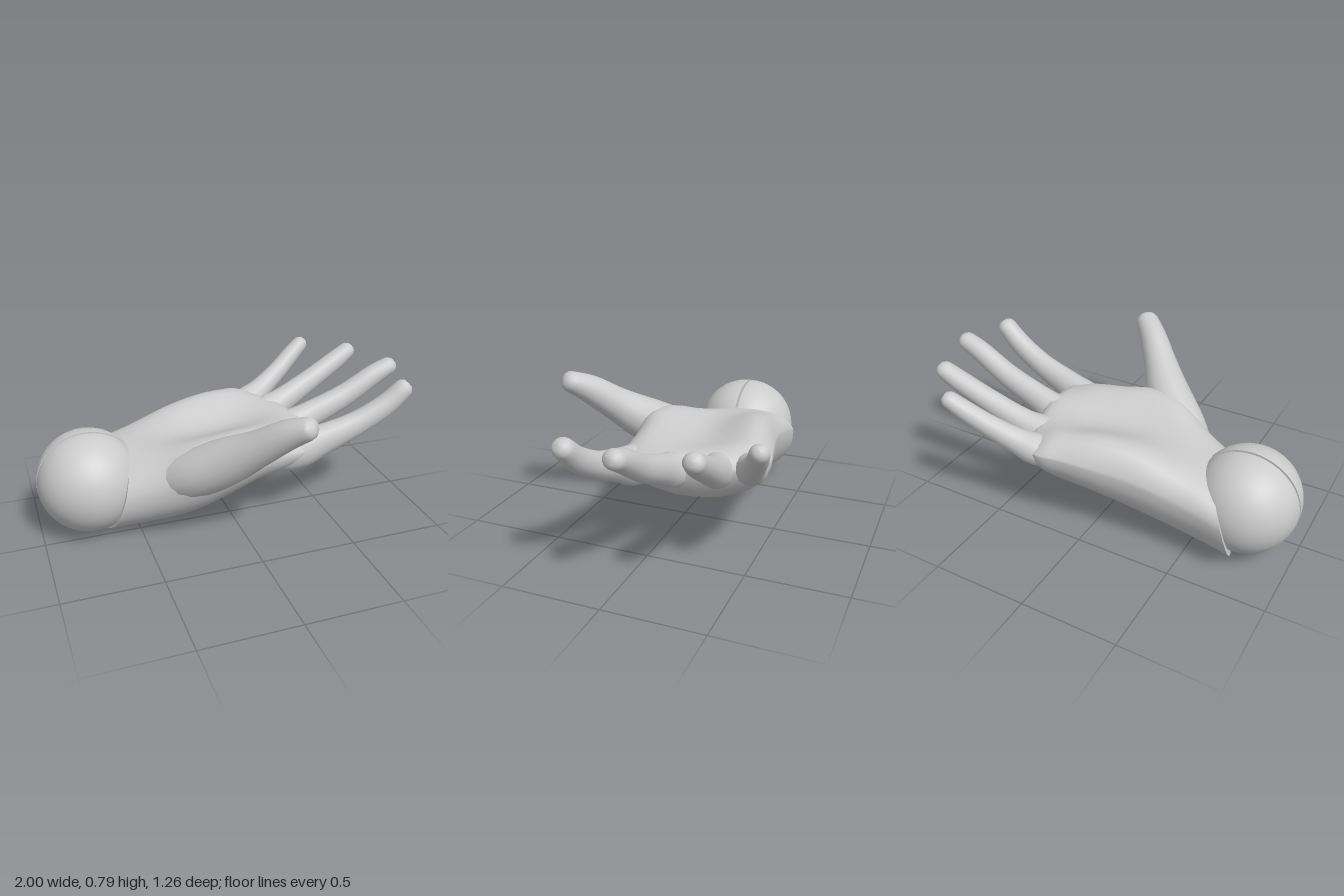
import * as THREE from 'three';

const material = new THREE.MeshStandardMaterial({ color: 0xcccccc, side: THREE.DoubleSide });
const { smoothstep, clamp } = THREE.MathUtils;

// Smoothly interpolates rows of numbers; keys gives each row's position
function rowSampler(rows, keys) {
  const curve = new THREE.CubicInterpolant(keys, rows.flat(), rows[0].length);
  return (t) => Array.from(curve.evaluate(t));
}

// Skins a list of closed rings of equal length
function loft(rings) {
  const n = rings[0].length;
  const index = [];
  for (let i = 0; i < rings.length - 1; i++) {
    for (let j = 0; j < n; j++) {
      const a = i * n + j, b = a + n;
      const d = i * n + (j + 1) % n, c = d + n;
      index.push(a, b, c, a, c, d);
    }
  }
  const geometry = new THREE.BufferGeometry().setFromPoints(rings.flat());
  geometry.setIndex(index);
  geometry.computeVertexNormals();
  return geometry;
}

const collapse = (ring, point) => ring.map(() => point.clone());

function addMesh(parent, name, geometry) {
  const mesh = new THREE.Mesh(geometry, material);
  mesh.name = name;
  parent.add(mesh);
  return mesh;
}

// Cupped palm: x, back z, front z, back edge y, front edge y, bottom y, hollow y, rim height
function palmGeometry() {
  const stations = [
    [-0.60, -0.405, 0.14, 0.28, 0.25, 0.002, 0.45, 0.00],
    [-0.45, -0.40, 0.19, 0.33, 0.30, 0.022, 0.47, 0.03],
    [-0.25, -0.43, 0.275, 0.40, 0.38, 0.07, 0.48, 0.075],
    [-0.05, -0.475, 0.285, 0.44, 0.43, 0.14, 0.48, 0.09],
    [0.10, -0.505, 0.25, 0.46, 0.42, 0.19, 0.485, 0.075],
    [0.25, -0.525, 0.235, 0.465, 0.41, 0.235, 0.505, 0.045],
    [0.35, -0.515, 0.225, 0.46, 0.42, 0.29, 0.515, 0.01],
    [0.40, -0.48, 0.205, 0.455, 0.43, 0.345, 0.505, 0.00],
    [0.425, -0.44, 0.18, 0.45, 0.435, 0.395, 0.475, 0.00],
  ];
  const sample = rowSampler(stations, stations.map((s) => s[0]));
  const rings = [];
  const steps = 36, sides = 40;
  for (let i = 0; i <= steps; i++) {
    const [x, back, front, edgeB, edgeF, bottom, hollow, rim] = sample(-0.60 + 1.025 * i / steps);
    const ring = [];
    for (let j = 0; j < sides; j++) {
      const a = j / sides * Math.PI * 2;
      const c = Math.cos(a), s = Math.sin(a);
      const z = (back + front) / 2 + (front - back) / 2 * c;
      const edge = edgeB + (edgeF - edgeB) * (c + 1) / 2;
      const y = s > 0
        ? edge + (hollow - edge) * s + rim * Math.sin(2 * a) ** 2
        : edge + (edge - bottom) * s;
      // Slanted wrist opening and slanted knuckle line
      const wrist = 1 - smoothstep(x, -0.6, -0.1);
      const knuckle = smoothstep(x, 0.05, 0.43) * clamp((-0.1 - z) / 0.4, 0, 1);
      ring.push(new THREE.Vector3(
        x + wrist * (0.45 * Math.min(0, z + 0.12) + 0.3 * (y - 0.25)) - 0.12 * knuckle, y, z));
    }
    rings.push(ring);
  }
  // The doubled first ring keeps the wrist rim sharp
  const wristRing = rings[0].map((p) => p.clone());
  rings.unshift(collapse(wristRing, new THREE.Vector3(-0.62, 0.26, -0.12)), wristRing);
  rings.push(collapse(wristRing, new THREE.Vector3(0.42, 0.44, -0.13)));
  return loft(rings);
}

// Tapered digit; each row is x, y, z, half width, half thickness
function digitGeometry(rows) {
  const sample = rowSampler(rows, rows.map((_, i) => i));
  const steps = 24, sides = 16, last = rows.length - 1;
  const up = new THREE.Vector3(0, 1, 0);
  const at = (t) => new THREE.Vector3(...sample(t).slice(0, 3));
  const ringAt = (t, scale, advance) => {
    const [, , , w, h] = sample(t);
    const dir = at(Math.min(t + 0.05, last)).sub(at(Math.max(t - 0.05, 0))).normalize();
    const side = dir.clone().cross(up).normalize();
    const normal = side.clone().cross(dir);
    const center = at(t).addScaledVector(dir, advance);
    return Array.from({ length: sides }, (_, j) => {
      const a = j / sides * Math.PI * 2;
      return center.clone()
        .addScaledVector(side, w * scale * Math.cos(a))
        .addScaledVector(normal, h * scale * Math.sin(a));
    });
  };
  const rings = [];
  for (let i = 0; i <= steps; i++) rings.push(ringAt(last * i / steps, 1, 0));
  // Blunt rounded tip
  rings.push(ringAt(last, 0.88, 0.018), ringAt(last, 0.55, 0.034), ringAt(last, 0, 0.037));
  return loft(rings);
}

// Each digit starts thin inside the palm so that it swells out of it gently
const digits = {
  indexFinger: [
    [0.10, 0.36, 0.10, 0.06, 0.05], [0.30, 0.39, 0.135, 0.092, 0.105],
    [0.46, 0.445, 0.162, 0.07, 0.085], [0.64, 0.515, 0.178, 0.06, 0.067],
    [0.79, 0.60, 0.192, 0.057, 0.06], [0.89, 0.69, 0.20, 0.054, 0.05],
  ],
  middleFinger: [
    [0.12, 0.37, -0.09, 0.06, 0.05], [0.34, 0.415, -0.085, 0.095, 0.09],
    [0.48, 0.47, -0.08, 0.068, 0.078], [0.69, 0.56, -0.078, 0.06, 0.065],
    [0.86, 0.66, -0.076, 0.056, 0.057], [0.955, 0.707, -0.076, 0.052, 0.047],
  ],
  ringFinger: [
    [0.08, 0.38, -0.25, 0.06, 0.05], [0.29, 0.425, -0.285, 0.09, 0.088],
    [0.43, 0.475, -0.316, 0.068, 0.076], [0.61, 0.565, -0.345, 0.059, 0.062],
    [0.77, 0.65, -0.37, 0.055, 0.056], [0.855, 0.702, -0.383, 0.05, 0.046],
  ],
  littleFinger: [
    [0.06, 0.41, -0.38, 0.05, 0.045], [0.25, 0.44, -0.44, 0.083, 0.08],
    [0.36, 0.49, -0.483, 0.062, 0.066], [0.48, 0.565, -0.53, 0.053, 0.056],
    [0.58, 0.64, -0.57, 0.05, 0.051], [0.65, 0.695, -0.594, 0.045, 0.043],
  ],
  thumb: [
    [-0.44, 0.27, 0.02, 0.08, 0.09], [-0.26, 0.37, 0.16, 0.125, 0.125],
    [-0.11, 0.475, 0.28, 0.12, 0.12], [0.00, 0.58, 0.395, 0.092, 0.092],
    [0.10, 0.68, 0.495, 0.074, 0.075], [0.18, 0.738, 0.57, 0.062, 0.055],
  ],
};

// Ball of two capped halves with a narrow slot and a core disc between them
function ballJoint() {
  const ball = new THREE.Group();
  ball.name = 'wristBall';
  ball.position.set(-0.735, 0.285, -0.107);
  for (const [name, turn] of [['frontHalf', 0], ['backHalf', Math.PI]]) {
    const half = new THREE.Group();
    half.name = name;
    half.rotation.y = turn;
    const dome = new THREE.SphereGeometry(0.265, 48, 18, 0, Math.PI * 2, 0, Math.PI / 2);
    dome.rotateX(Math.PI / 2);
    addMesh(half, 'dome', dome).position.z = 0.007;
    addMesh(half, 'flatFace', new THREE.CircleGeometry(0.265, 48)).position.z = 0.007;
    ball.add(half);
  }
  addMesh(ball, 'coreDisc', new THREE.CylinderGeometry(0.14, 0.14, 0.016, 32).rotateX(Math.PI / 2));
  return ball;
}

export function createModel() {
  const hand = new THREE.Group();
  hand.name = 'hand';
  addMesh(hand, 'palm', palmGeometry());
  for (const [name, rows] of Object.entries(digits)) addMesh(hand, name, digitGeometry(rows));
  hand.add(ballJoint());
  return hand;
}
